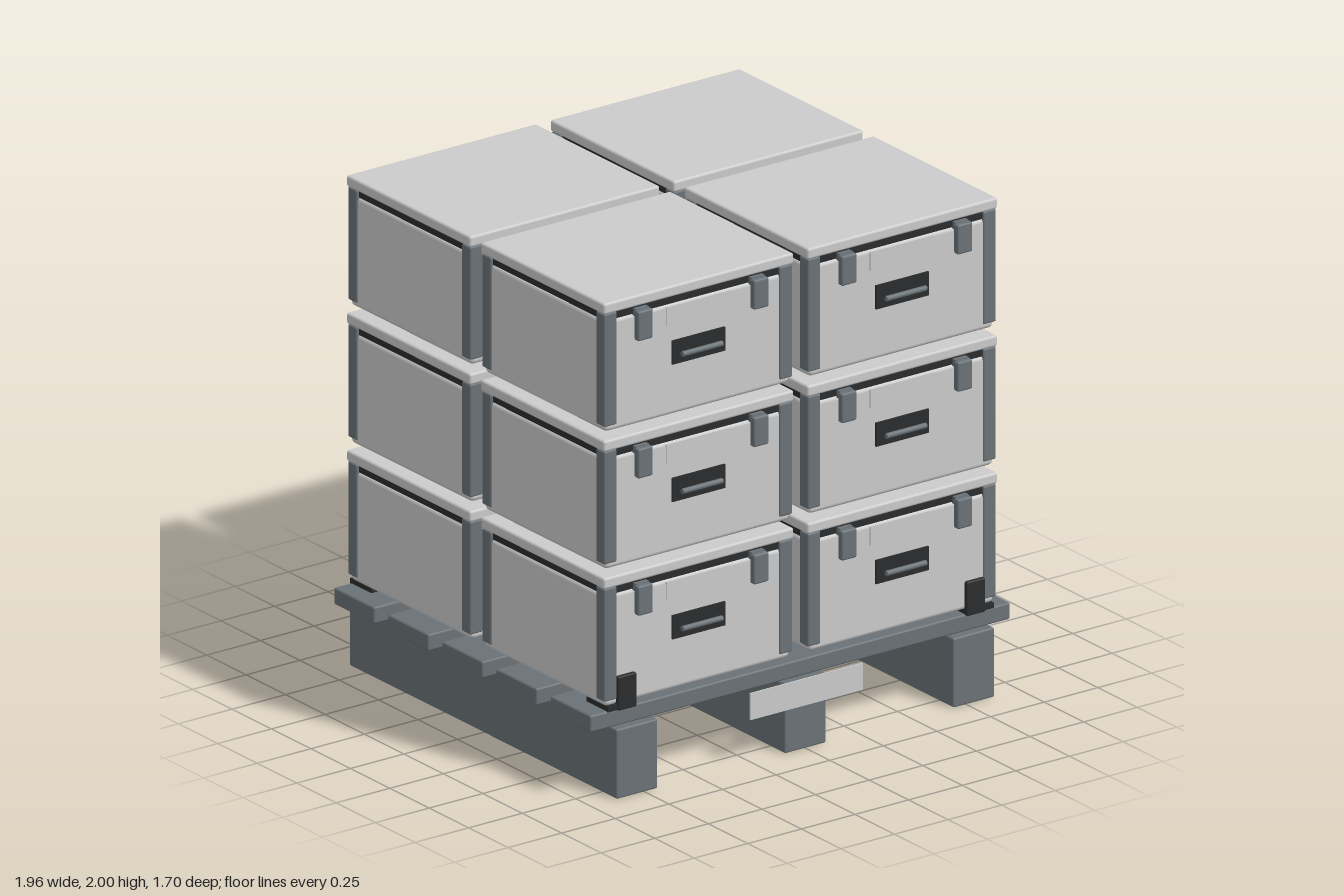
import * as THREE from 'three';
import { RoundedBoxGeometry } from 'three/addons/geometries/RoundedBoxGeometry.js';

const paint = (name, color) => {
  const m = new THREE.MeshStandardMaterial({ color });
  m.name = name;
  return m;
};

export function createModel() {
  const light = paint('light grey', 0xcbcbcb);
  const slate = paint('slate grey', 0x6a7277);
  const dark = paint('near black', 0x2b2c2d);

  // Box from size and centre; r rounds the edges
  const box = (parent, name, mat, [w, h, d], [x, y, z], r = 0) => {
    const geo = r ? new RoundedBoxGeometry(w, h, d, 2, r) : new THREE.BoxGeometry(w, h, d);
    const mesh = new THREE.Mesh(geo, mat);
    mesh.name = name;
    mesh.position.set(x, y, z);
    parent.add(mesh);
    return mesh;
  };

  // One crate, origin at the centre of its lid top, opening to +z
  function createCrate() {
    const g = new THREE.Group();
    g.name = 'crate';
    box(g, 'lid', light, [0.886, 0.045, 0.786], [0, -0.0225, 0], 0.01);
    box(g, 'seal', dark, [0.856, 0.03, 0.762], [0, -0.06, 0]);
    box(g, 'body', light, [0.862, 0.451, 0.768], [0, -0.2995, 0], 0.018);
    for (const x of [-1, 1]) {
      for (const z of [-1, 1]) {
        box(g, 'cornerPost', slate, [0.06, 0.456, 0.056], [x * 0.409, -0.273, z * 0.361], 0.007);
      }
      // Latch hooked under the lid rim
      box(g, 'latch', slate, [0.07, 0.12, 0.03], [x * 0.27, -0.115, 0.408], 0.008);
      box(g, 'latchMount', slate, [0.06, 0.03, 0.03], [x * 0.27, -0.067, 0.386]);
    }
    box(g, 'label', light, [0.298, 0.075, 0.006], [0, -0.121, 0.386]);

    // Handle recess with round grip
    box(g, 'handlePlate', dark, [0.246, 0.096, 0.009], [0, -0.272, 0.387]);
    const grip = new THREE.Mesh(new THREE.CylinderGeometry(0.011, 0.011, 0.186, 14), slate);
    grip.name = 'handleGrip';
    grip.rotation.z = Math.PI / 2;
    grip.position.set(0, -0.277, 0.412);
    g.add(grip);
    for (const x of [-0.08, 0.08]) {
      box(g, 'gripArm', dark, [0.012, 0.012, 0.024], [x, -0.277, 0.4]);
    }
    return g;
  }

  const model = new THREE.Group();
  model.name = 'palletOfCrates';

  // Pallet: three runners, five slats, front plate
  const pallet = new THREE.Group();
  pallet.name = 'pallet';
  model.add(pallet);
  for (const x of [-0.785, 0, 0.785]) {
    box(pallet, 'runner', slate, [0.193, 0.281, 1.695], [x, 0.1405, 0], 0.008);
  }
  for (let i = -2; i <= 2; i++) {
    box(pallet, 'slat', slate, [1.958, 0.068, 0.257], [0, 0.315, i * 0.343], 0.008);
  }
  box(pallet, 'frontPlate', light, [0.526, 0.108, 0.006], [0, 0.231, 0.851]);

  // Corner brackets holding the bottom layer
  for (const x of [-1, 1]) {
    for (const z of [-1, 1]) {
      const bracket = new THREE.Group();
      bracket.name = 'cornerBracket';
      box(bracket, 'bracketFoot', dark, [0.13, 0.022, 0.135], [x * 0.835, 0.357, z * 0.75]);
      box(bracket, 'bracketPlate', dark, [0.087, 0.138, 0.022], [x * 0.813, 0.412, z * 0.814], 0.006);
      model.add(bracket);
    }
  }

  // Three layers of four crates
  for (const y of [0.89, 1.445, 2]) {
    for (const x of [-0.475, 0.475]) {
      for (const z of [-0.425, 0.425]) {
        const crate = createCrate();
        crate.position.set(x, y, z);
        model.add(crate);
      }
    }
  }
  return model;
}
